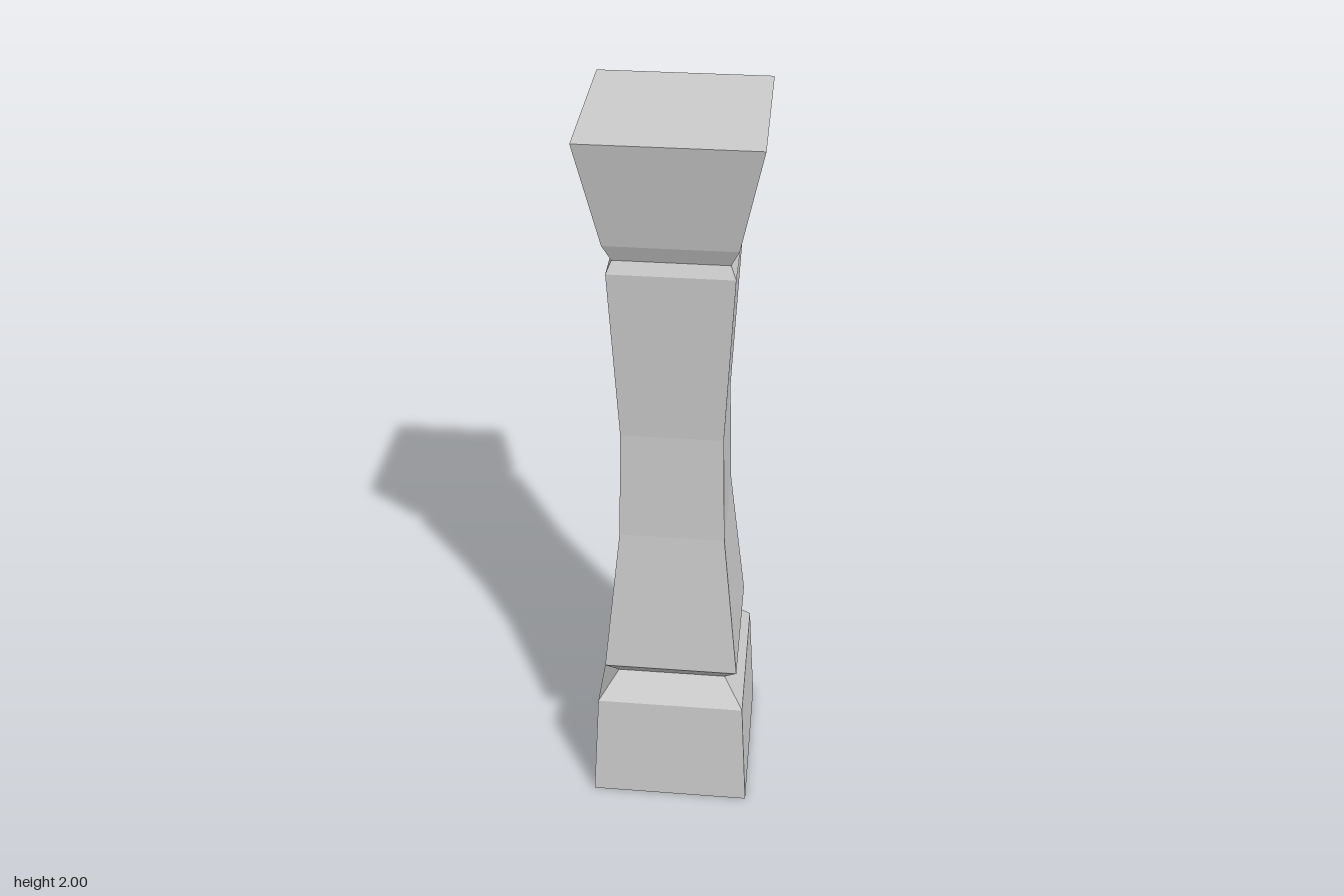
import * as THREE from 'three';

// Each section is a list of [half width, height], from bottom to top.
const sections = {
  base: [[0, 0], [0.219, 0], [0.2, 0.34], [0.147, 0.415]],
  shaft: [[0.147, 0.415], [0.18, 0.46], [0.136, 0.89], [0.128, 1.2], [0.149, 1.66], [0.136, 1.69]],
  capital: [[0.136, 1.69], [0.155, 1.735], [0.207, 2], [0, 2]],
};

// Square-section turning: a four-sided lathe with its flats facing the axes.
function squareTurning(profile) {
  const points = profile.map(([half, y]) => new THREE.Vector2(half * Math.SQRT2, y));
  return new THREE.LatheGeometry(points, 4, Math.PI / 4);
}

export function createModel() {
  const group = new THREE.Group();
  group.name = 'squareBaluster';
  const material = new THREE.MeshStandardMaterial({ color: 0xcccccc, flatShading: true });

  // Base, waisted shaft and flared capital meet at the two narrow necks.
  for (const [name, profile] of Object.entries(sections)) {
    const mesh = new THREE.Mesh(squareTurning(profile), material);
    mesh.name = name;
    group.add(mesh);
  }
  return group;
}
